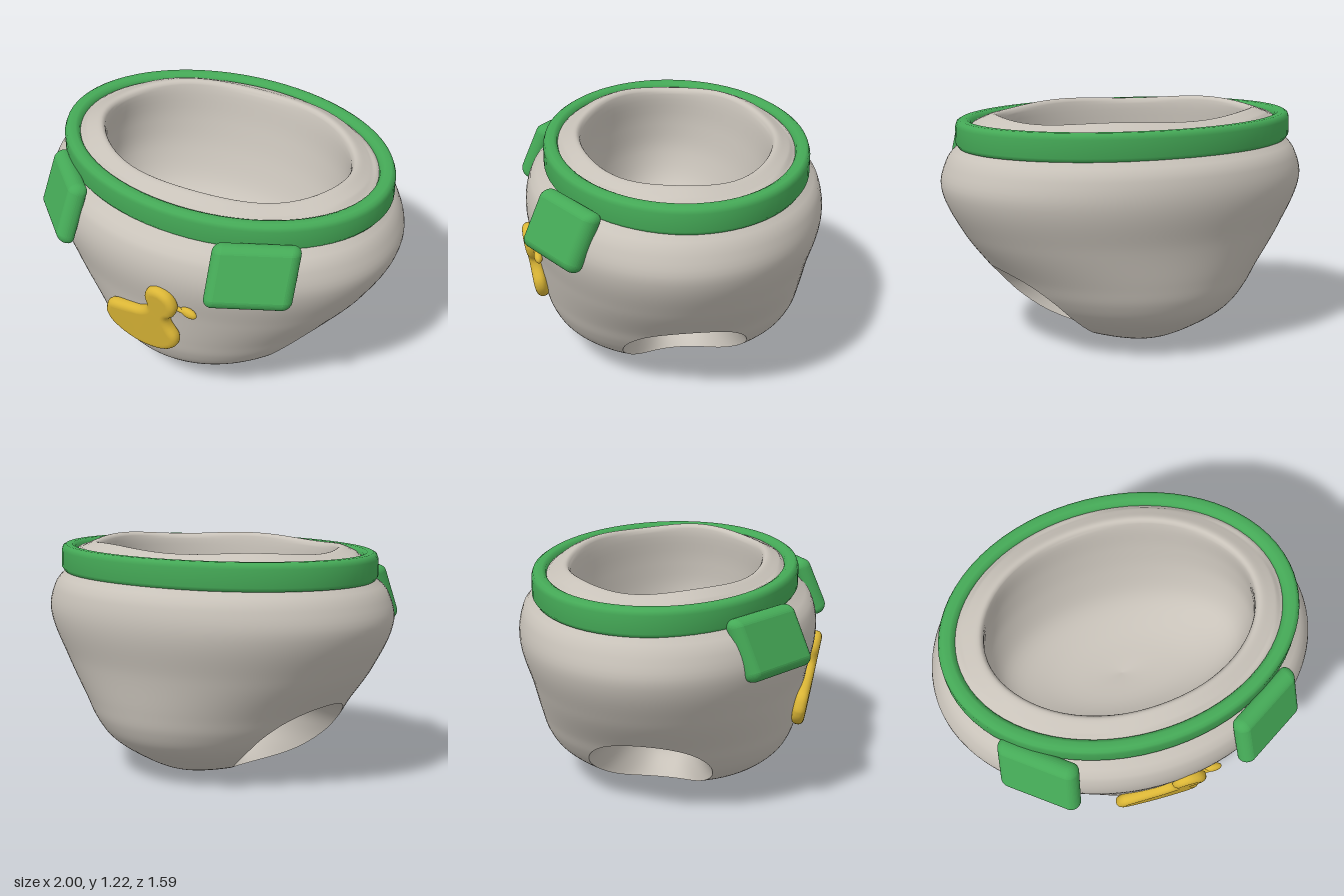
import * as THREE from 'three';
import { mergeVertices } from 'three/addons/utils/BufferGeometryUtils.js';
import { RoundedBoxGeometry } from 'three/addons/geometries/RoundedBoxGeometry.js';

// Shell half-sizes by height: [y, half width, front depth, back depth]
const SHELL = [
  [0, 0, 0, 0], [0.005, 0.1, 0.17, 0.18], [0.03, 0.215, 0.33, 0.33], [0.1, 0.42, 0.49, 0.48],
  [0.2, 0.57, 0.61, 0.62], [0.3, 0.66, 0.665, 0.68], [0.4, 0.73, 0.69, 0.705], [0.6, 0.885, 0.725, 0.74],
  [0.84, 1.0, 0.77, 0.795], [1.0, 0.958, 0.735, 0.768], [1.06, 0.9, 0.65, 0.7], [1.12, 0.86, 0.61, 0.66],
];
const SHELL_TOP = 1.12;
const HOLE = { y: 0.225, z: -0.02, ry: 0.205, rz: 0.325 };

// Smooth lookup in the table, spaced by the square root of the height
function shellSize(y, col) {
  const s = Math.sqrt(y), S = SHELL.map((r) => Math.sqrt(r[0])), n = SHELL.length;
  let i = 0;
  while (i < n - 2 && s > S[i + 1]) i++;
  const slope = (k) => {
    const a = Math.max(k - 1, 0), b = Math.min(k + 1, n - 1);
    return (SHELL[b][col] - SHELL[a][col]) / (S[b] - S[a]);
  };
  const h = S[i + 1] - S[i], t = (s - S[i]) / h, t2 = t * t, t3 = t2 * t;
  return (2 * t3 - 3 * t2 + 1) * SHELL[i][col] + (t3 - 2 * t2 + t) * h * slope(i)
    + (3 * t2 - 2 * t3) * SHELL[i + 1][col] + (t3 - t2) * h * slope(i + 1);
}

// Half width of the shell at a given height and depth
function shellX(y, z) {
  const d = z / shellSize(y, z > 0 ? 2 : 3);
  return shellSize(y, 1) * Math.sqrt(Math.max(0, 1 - d * d));
}

// Surface from rows of closed rings; keep() may drop triangles
function ringSurface(rows, cols, point, keep = () => true) {
  const pos = [], index = [];
  for (let i = 0; i <= rows; i++) {
    for (let j = 0; j < cols; j++) pos.push(...point(i / rows, (j / cols) * Math.PI * 2, i * cols + j));
  }
  const add = (a, b, c) => { if (keep(a, b, c)) index.push(a, b, c); };
  for (let i = 0; i < rows; i++) {
    for (let j = 0; j < cols; j++) {
      const k = (j + 1) % cols, a = i * cols + j, b = i * cols + k, c = a + cols, d = b + cols;
      add(a, c, b);
      add(b, c, d);
    }
  }
  const geo = new THREE.BufferGeometry();
  geo.setAttribute('position', new THREE.Float32BufferAttribute(pos, 3));
  geo.setIndex(index);
  geo.computeVertexNormals();
  return geo;
}

// Outer shell with an oval opening on each side
function shellGeometry() {
  const inside = [], top = Math.sqrt(SHELL_TOP);
  return ringSurface(68, 112, (t, a, id) => {
    let y = Math.min((t * top) ** 2, SHELL_TOP);
    let x = Math.cos(a) * shellSize(y, 1);
    let z = Math.sin(a) * shellSize(y, Math.sin(a) > 0 ? 2 : 3);
    const d = Math.hypot((y - HOLE.y) / HOLE.ry, (z - HOLE.z) / HOLE.rz);
    inside[id] = d < 1;
    if (d < 1) {
      const f = 1 / Math.max(d, 0.01);
      y = HOLE.y + (y - HOLE.y) * f;
      z = HOLE.z + (z - HOLE.z) * f;
      x = Math.sign(x) * shellX(y, z);
    }
    return [x, y, z];
  }, (a, b, c) => !(inside[a] && inside[b] && inside[c]));
}

// Passage between the two leg openings, narrowing to a squarer middle
function tunnelGeometry() {
  const power = (v, e) => Math.sign(v) * Math.abs(v) ** e;
  return ringSurface(24, 64, (t, a) => {
    const u = 1 - 2 * t, q = 1 - u * u, s = Math.sin(a), c = Math.cos(a);
    const y0 = HOLE.y + HOLE.ry * s, z0 = HOLE.z + HOLE.rz * c;
    const y1 = 0.265 + 0.157 * power(s, 0.85), z1 = -0.02 + (0.175 + 0.04 * s) * power(c, 0.7);
    return [shellX(y0, z0) * u, THREE.MathUtils.lerp(y0, y1, q), THREE.MathUtils.lerp(z0, z1, q)];
  });
}

// Padded lip and bowl: points are (half width, height, half depth)
function linerGeometry() {
  const path = new THREE.CatmullRomCurve3([
    [0.88, 1.13, 0.65], [0.84, 1.165, 0.62], [0.78, 1.195, 0.57], [0.72, 1.212, 0.52], [0.7, 1.19, 0.5],
    [0.715, 1.0, 0.47], [0.71, 0.82, 0.43], [0.63, 0.64, 0.36], [0.4, 0.53, 0.22], [0, 0.48, 0],
  ].map((p) => new THREE.Vector3(...p)), false, 'centripetal');
  return ringSurface(48, 72, (t, a) => {
    const p = path.getPoint(t);
    const wave = p.y > 1.18 ? 0.008 * Math.sin(5 * a + 1) : 0;
    const forward = 0.06 * Math.max(0, 1.19 - p.y);
    return [p.x * Math.cos(a), p.y + wave, p.z * Math.sin(a) - 0.025 + (t > 0.4 ? forward : 0)];
  });
}

// Waistband: rounded section swept round an oval, as (inset, height)
function bandGeometry() {
  const section = [
    [0.05, 1.046], [0.015, 1.05], [0, 1.07], [0, 1.16], [0.008, 1.182], [0.025, 1.192],
    [0.06, 1.192], [0.08, 1.182], [0.088, 1.16], [0.088, 1.08], [0.05, 1.046],
  ];
  return ringSurface(section.length - 1, 72, (t, a) => {
    const [o, y] = section[Math.round(t * (section.length - 1))];
    return [(0.929 - o) * Math.cos(a), y, (0.694 - o * 0.9) * Math.sin(a) - 0.027];
  });
}

export function createModel() {
  const model = new THREE.Group();
  const material = (name, color) => {
    const m = new THREE.MeshStandardMaterial({ color });
    m.name = name;
    return m;
  };
  const grey = material('warm grey cloth', 0xc8c2b9);
  const green = material('green trim', 0x45aa57);
  const yellow = material('yellow duck', 0xdbb636);
  const add = (name, geo, mat, parent = model) => {
    const mesh = new THREE.Mesh(geo, mat);
    mesh.name = name;
    parent.add(mesh);
    return mesh;
  };

  add('outerShell', shellGeometry(), grey);
  add('legOpenings', tunnelGeometry(), grey);
  add('innerLining', linerGeometry(), grey);
  add('waistband', bandGeometry(), green);

  // Fastening tabs, curved to the shell, one on each side of the front
  for (const side of [-1, 1]) {
    const geo = new RoundedBoxGeometry(0.43, 0.325, 0.095, 5, 0.045);
    const p = geo.attributes.position;
    for (let i = 0; i < p.count; i++) {
      const x = p.getX(i), y = p.getY(i);
      p.setX(i, x + side * 0.14 * y);
      p.setZ(i, p.getZ(i) - 0.5 * x * x - 0.8 * y * y);
    }
    geo.computeVertexNormals();
    const tab = add(side > 0 ? 'leftTab' : 'rightTab', geo, green);
    tab.rotation.order = 'YXZ';
    tab.rotation.set(-0.36, side > 0 ? 0.58 : -0.66, side * -0.02);
    tab.position.set(side * 0.61, 0.967, side > 0 ? 0.627 : 0.612);
  }

  // Duck badge, leaning with the front of the shell
  const duck = new THREE.Group();
  duck.name = 'duckBadge';
  duck.position.set(0, 0.56, 0.708);
  duck.rotation.x = 0.165;
  model.add(duck);
  const outline = [
    [-0.23, 0.47], [-0.2, 0.55], [-0.1, 0.578], [0, 0.6], [0.055, 0.635], [0.068, 0.67], [0.062, 0.725],
    [0.09, 0.78], [0.15, 0.8], [0.215, 0.775], [0.245, 0.71], [0.225, 0.645], [0.185, 0.605], [0.19, 0.555],
    [0.225, 0.49], [0.21, 0.42], [0.13, 0.355], [0, 0.33], [-0.12, 0.355], [-0.205, 0.41],
  ].map(([x, y]) => new THREE.Vector2(x, y - 0.56));
  const curve = new THREE.SplineCurve([...outline, outline[0]]);
  const puffy = new THREE.ExtrudeGeometry(new THREE.Shape(curve.getPoints(70).slice(0, -1)), {
    depth: 0.008, bevelThickness: 0.03, bevelSize: 0.035, bevelOffset: -0.035, bevelSegments: 6,
  });
  puffy.deleteAttribute('normal');
  puffy.deleteAttribute('uv');
  const smooth = mergeVertices(puffy, 1e-4);
  smooth.computeVertexNormals();
  add('duckBody', smooth, yellow, duck).position.z = 0.017;
  const beak = add('duckBeak', new THREE.SphereGeometry(1, 18, 12), yellow, duck);
  beak.scale.set(0.048, 0.028, 0.022);
  beak.position.set(0.296, 0.112, -0.008);
  beak.rotation.z = -0.15;
  const root = add('beakRoot', new THREE.CylinderGeometry(0.012, 0.012, 0.07, 10), yellow, duck);
  root.position.set(0.25, 0.118, 0);
  root.rotation.z = Math.PI / 2;

  return model;
}
